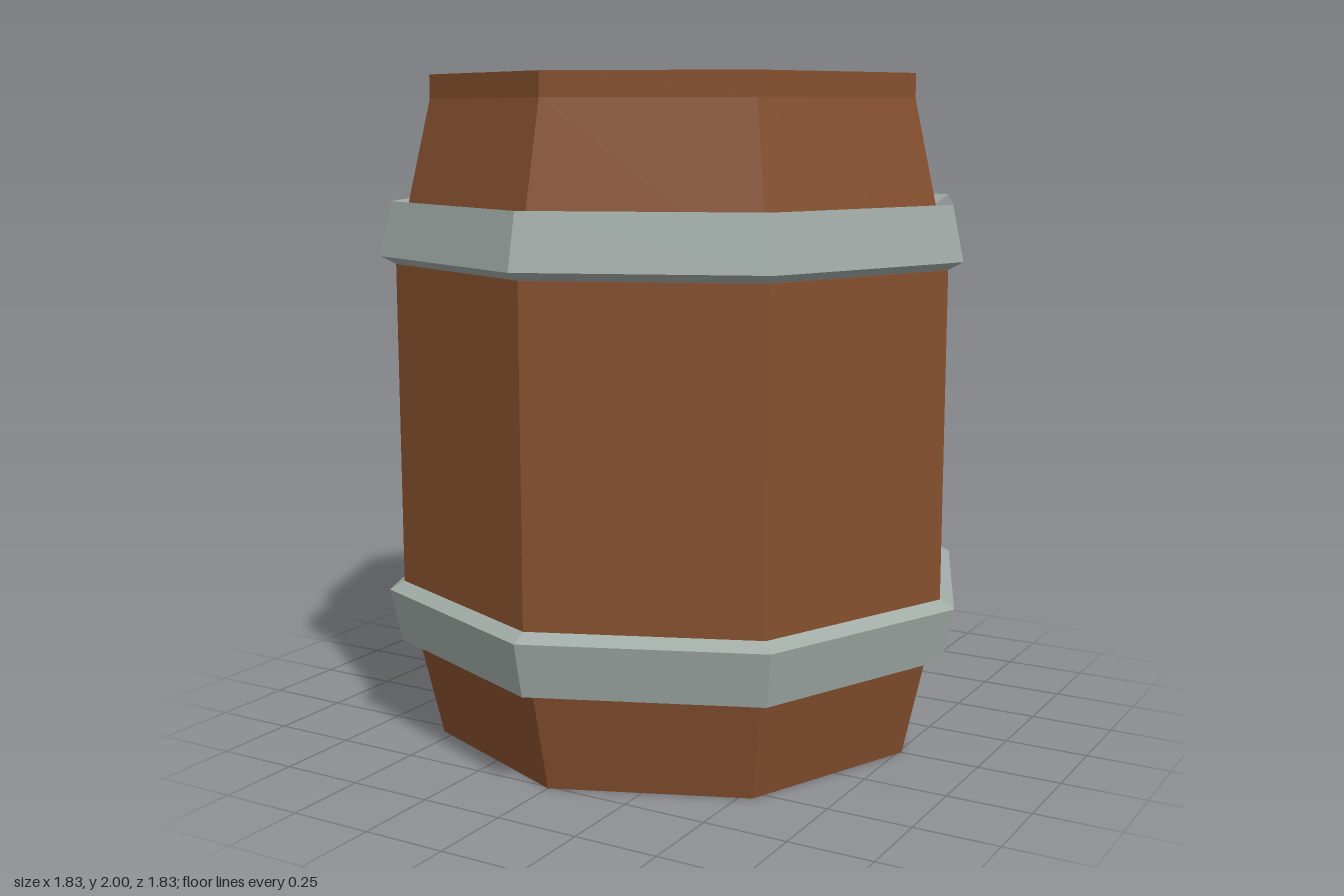
import * as THREE from 'three';

const SIDES = 8;

// Faceted octagonal ring or shell from a [radius, height] profile
function facetedLathe(profile) {
  const points = profile.map(([r, y]) => new THREE.Vector2(r, y));
  const geometry = new THREE.LatheGeometry(points, SIDES).toNonIndexed();
  geometry.computeVertexNormals();
  return geometry;
}

// Flat octagon facing up (dir = 1) or down (dir = -1)
function disc(radius, y, dir) {
  return new THREE.CircleGeometry(radius, SIDES).rotateX(-dir * Math.PI / 2).translate(0, y, 0);
}

export function createModel() {
  const wood = new THREE.MeshStandardMaterial({ color: 0x86502f });
  wood.name = 'brown wood';
  const iron = new THREE.MeshStandardMaterial({ color: 0xa0aba6 });
  iron.name = 'grey iron';

  const barrel = new THREE.Group();
  barrel.name = 'barrel';
  const add = (name, geometry, material) => {
    const mesh = new THREE.Mesh(geometry, material);
    mesh.name = name;
    barrel.add(mesh);
  };

  // Staves, turning over the rim into the recessed top
  add('staves', facetedLathe([
    [0.76, 0], [0.87, 0.48], [0.87, 1.45], [0.76, 1.93],
    [0.76, 2], [0.615, 2], [0.615, 1.93],
  ]), wood);
  add('lid', disc(0.615, 1.93, 1), wood);
  add('base', disc(0.76, 0, -1), wood);

  // Hoops: the lower one mirrors the upper one about mid height
  const hoop = [[0.868, 1.45], [0.915, 1.475], [0.88, 1.635], [0.833, 1.6]];
  add('upperHoop', facetedLathe(hoop), iron);
  add('lowerHoop', facetedLathe(hoop.map(([r, y]) => [r, 1.94 - y]).reverse()), iron);

  return barrel;
}
